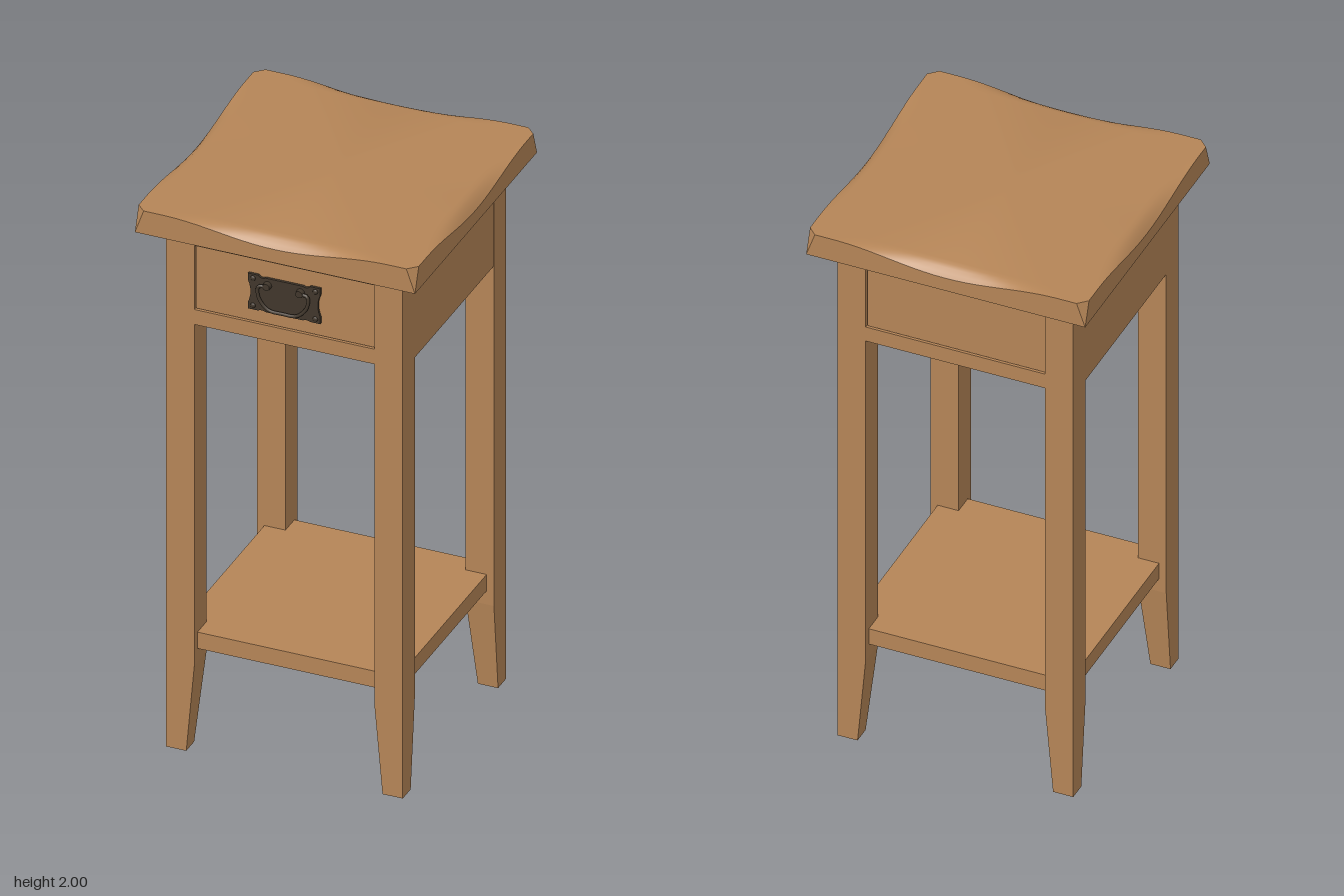
import * as THREE from 'three';
import { toCreasedNormals } from 'three/addons/utils/BufferGeometryUtils.js';

const wood = new THREE.MeshStandardMaterial({ color: 0xb58557 });
wood.name = 'wood';
const iron = new THREE.MeshStandardMaterial({ color: 0x40362b });
iron.name = 'dark iron';

function add(parent, name, geometry, material, x = 0, y = 0, z = 0) {
  const mesh = new THREE.Mesh(geometry, material);
  mesh.name = name;
  mesh.position.set(x, y, z);
  parent.add(mesh);
  return mesh;
}

// Box given by its limits
function slab(parent, name, x0, x1, y0, y1, z0, z1) {
  return add(parent, name, new THREE.BoxGeometry(x1 - x0, y1 - y0, z1 - z0), wood,
    (x0 + x1) / 2, (y0 + y1) / 2, (z0 + z1) / 2);
}

// Square top: cut corners, edges that roll down towards the middle of each side
function tabletopGeometry() {
  const half = 0.485, cut = 0.03, n = 24, roll = 0.05;
  const drop = (s) => 0.036 * (0.5 + 0.5 * Math.cos(Math.PI * Math.min(1, Math.abs(s) / 0.42)));
  const positions = [], index = [];
  const insets = [-1, 0, 0.2, 0.45, 0.7, 1];
  for (const k of insets) {
    for (let side = 0; side < 4; side++) {
      for (let i = 0; i <= n; i++) {
        const t = (i / n) * 2 - 1;
        const h = k < 0 ? half : half - k * roll;
        const s = t * (k < 0 ? half : h - cut);
        const y = k < 0 ? 1.915 : 2 - drop(t * half) * (1 - k) ** 2;
        const [x, z] = [[s, h], [h, -s], [-s, -h], [-h, s]][side];
        positions.push(x, y, z);
      }
    }
  }
  const count = 4 * (n + 1), last = (insets.length - 1) * count;
  const bottom = positions.length / 3, top = bottom + 1;
  positions.push(0, 1.915, 0, 0, 2, 0);
  for (let i = 0; i < count; i++) {
    const j = (i + 1) % count;
    for (let r = 0; r < last; r += count) {
      index.push(r + i, r + j, r + count + j, r + i, r + count + j, r + count + i);
    }
    index.push(last + i, last + j, top, j, i, bottom);
  }
  const g = new THREE.BufferGeometry();
  g.setAttribute('position', new THREE.Float32BufferAttribute(positions, 3));
  g.setIndex(index);
  return toCreasedNormals(g, 0.5);
}

// Square leg whose two inner faces taper below the shelf
function legGeometry(sx, sz) {
  const g = new THREE.BoxGeometry(1, 1, 1, 1, 2, 1).toNonIndexed();
  const p = g.attributes.position;
  for (let i = 0; i < p.count; i++) {
    const level = Math.round((p.getY(i) + 0.5) * 2);
    const innerX = level === 0 ? 0.34 : 0.312;
    const innerZ = level === 0 ? 0.347 : 0.314;
    p.setXYZ(i,
      sx * (p.getX(i) * sx > 0 ? 0.41 : innerX),
      [0, 0.32, 1.915][level],
      sz * (p.getZ(i) * sz > 0 ? 0.41 : innerZ));
  }
  g.computeVertexNormals();
  return g;
}

// Drop handle on a shaped back plate
function makeHandle() {
  const handle = new THREE.Group();
  handle.name = 'drawerHandle';
  const s = new THREE.Shape();
  s.moveTo(-0.125, 0.065);
  s.lineTo(-0.09, 0.065);
  s.quadraticCurveTo(-0.08, 0.052, -0.065, 0.06);
  s.lineTo(0.065, 0.06);
  s.quadraticCurveTo(0.08, 0.052, 0.09, 0.065);
  s.lineTo(0.125, 0.065);
  s.lineTo(0.125, 0.04);
  s.quadraticCurveTo(0.108, 0, 0.125, -0.04);
  s.lineTo(0.125, -0.065);
  s.lineTo(0.09, -0.065);
  s.quadraticCurveTo(0.08, -0.058, 0.065, -0.065);
  s.lineTo(-0.065, -0.065);
  s.quadraticCurveTo(-0.08, -0.058, -0.09, -0.065);
  s.lineTo(-0.125, -0.065);
  s.lineTo(-0.125, -0.04);
  s.quadraticCurveTo(-0.108, 0, -0.125, 0.04);
  add(handle, 'backPlate', new THREE.ExtrudeGeometry(s, { depth: 0.01, bevelEnabled: false, curveSegments: 6 }), iron);

  const bail = new THREE.CatmullRomCurve3([
    [-0.055, 0.033, 0.018], [-0.085, 0.03, 0.02], [-0.083, -0.01, 0.022], [-0.05, -0.046, 0.024],
    [0, -0.05, 0.024], [0.05, -0.046, 0.024], [0.083, -0.01, 0.022], [0.085, 0.03, 0.02], [0.055, 0.033, 0.018],
  ].map((p) => new THREE.Vector3(...p)));
  add(handle, 'bail', new THREE.TubeGeometry(bail, 40, 0.006, 8), iron);

  for (const x of [-1, 1]) {
    const post = add(handle, 'post', new THREE.CylinderGeometry(0.012, 0.015, 0.018, 16), iron, x * 0.057, 0.035, 0.016);
    post.rotation.x = Math.PI / 2;
    for (const y of [-1, 1]) {
      const stud = add(handle, 'stud', new THREE.SphereGeometry(0.009, 12, 8), iron, x * 0.108, y * 0.05, 0.01);
      stud.scale.z = 0.6;
    }
  }
  return handle;
}

export function createModel() {
  const model = new THREE.Group();
  model.name = 'sideTable';

  add(model, 'tabletop', tabletopGeometry(), wood);

  for (const sx of [-1, 1]) {
    for (const sz of [-1, 1]) add(model, 'leg', legGeometry(sx, sz), wood);
    // Side aprons flush with the legs
    slab(model, 'sideApron', sx > 0 ? 0.3 : -0.409, sx > 0 ? 0.409 : -0.3, 1.57, 1.915, -0.314, 0.314);
  }

  // Rails with a slightly recessed drawer panel, front and back
  for (const sz of [-1, 1]) {
    const face = new THREE.Group();
    face.name = sz > 0 ? 'drawerFront' : 'backPanel';
    slab(face, 'lowerRail', -0.312, 0.312, 1.575, 1.63, 0.3, 0.409);
    slab(face, 'upperRail', -0.312, 0.312, 1.865, 1.915, 0.3, 0.409);
    slab(face, 'panel', -0.309, 0.309, 1.633, 1.862, 0.3, 0.403);
    slab(face, 'panelBacking', -0.312, 0.312, 1.62, 1.87, 0.3, 0.395);
    if (sz < 0) face.rotation.y = Math.PI;
    model.add(face);
  }

  slab(model, 'drawerBottom', -0.305, 0.305, 1.573, 1.6, -0.31, 0.31);
  slab(model, 'lowerShelf', -0.385, 0.385, 0.37, 0.43, -0.385, 0.385);

  const handle = makeHandle();
  handle.position.set(0, 1.745, 0.402);
  model.add(handle);
  return model;
}
